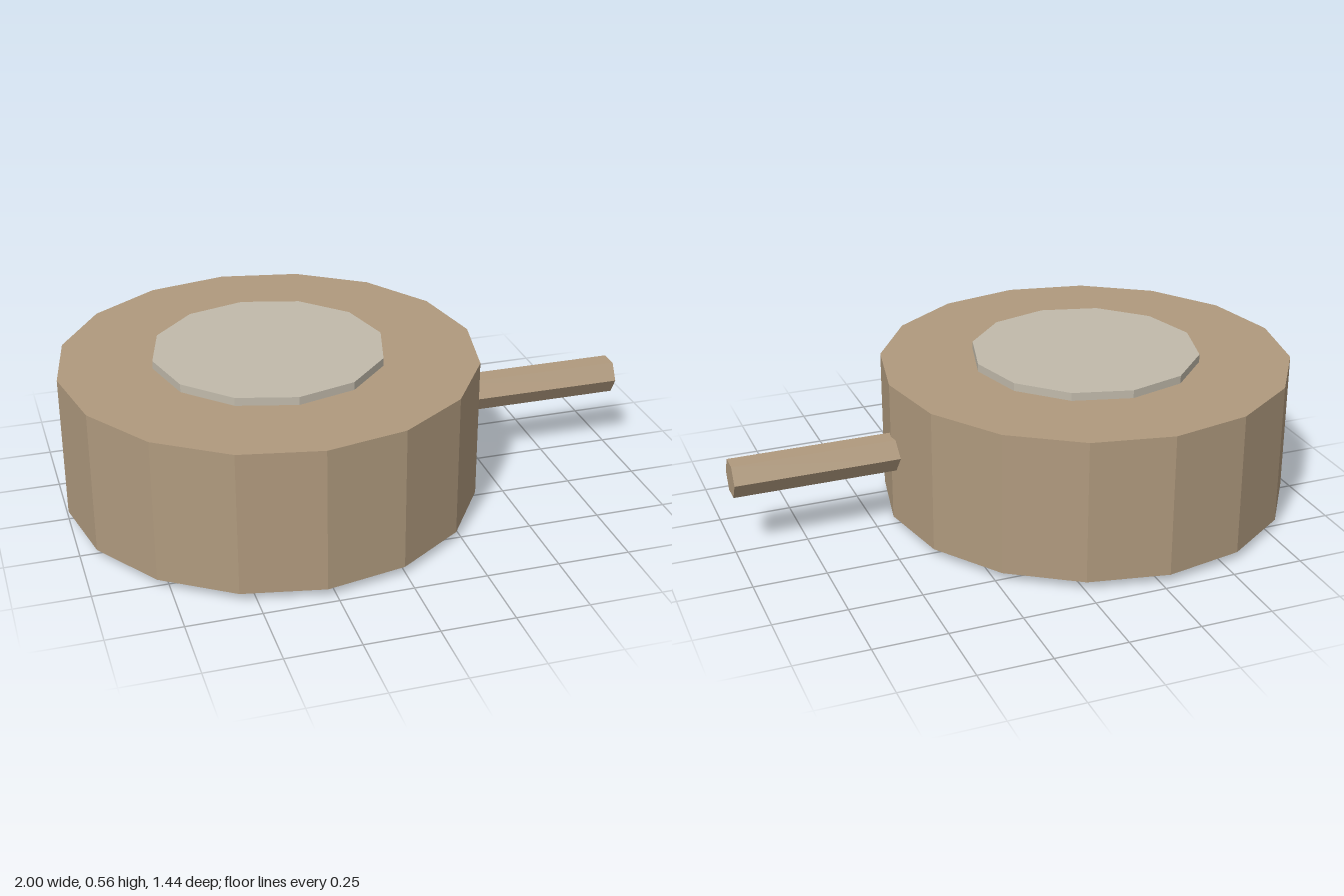
import * as THREE from 'three';

export function createModel() {
  const model = new THREE.Group();
  const wood = new THREE.MeshStandardMaterial({ color: 0xb09a7e, flatShading: true });
  wood.name = 'tan wood';
  const skin = new THREE.MeshStandardMaterial({ color: 0xc1baab, flatShading: true });
  skin.name = 'pale stone';

  // Faceted cylinder with a name, placed by its centre
  const prism = (name, radius, length, sides, material, x, y) => {
    const mesh = new THREE.Mesh(new THREE.CylinderGeometry(radius, radius, length, sides), material);
    mesh.name = name;
    mesh.position.set(x, y, 0);
    model.add(mesh);
    return mesh;
  };

  // Drum body and the raised discs on its two faces
  prism('body', 0.72, 0.5, 16, wood, -0.28, 0.279);
  prism('topDisc', 0.4, 0.04, 12, skin, -0.28, 0.537);
  prism('bottomDisc', 0.4, 0.04, 12, skin, -0.28, 0.02);

  // Hexagonal handle pointing sideways
  const handle = prism('handle', 0.066, 0.58, 6, wood, 0.71, 0.279);
  handle.rotation.z = -Math.PI / 2;

  return model;
}
